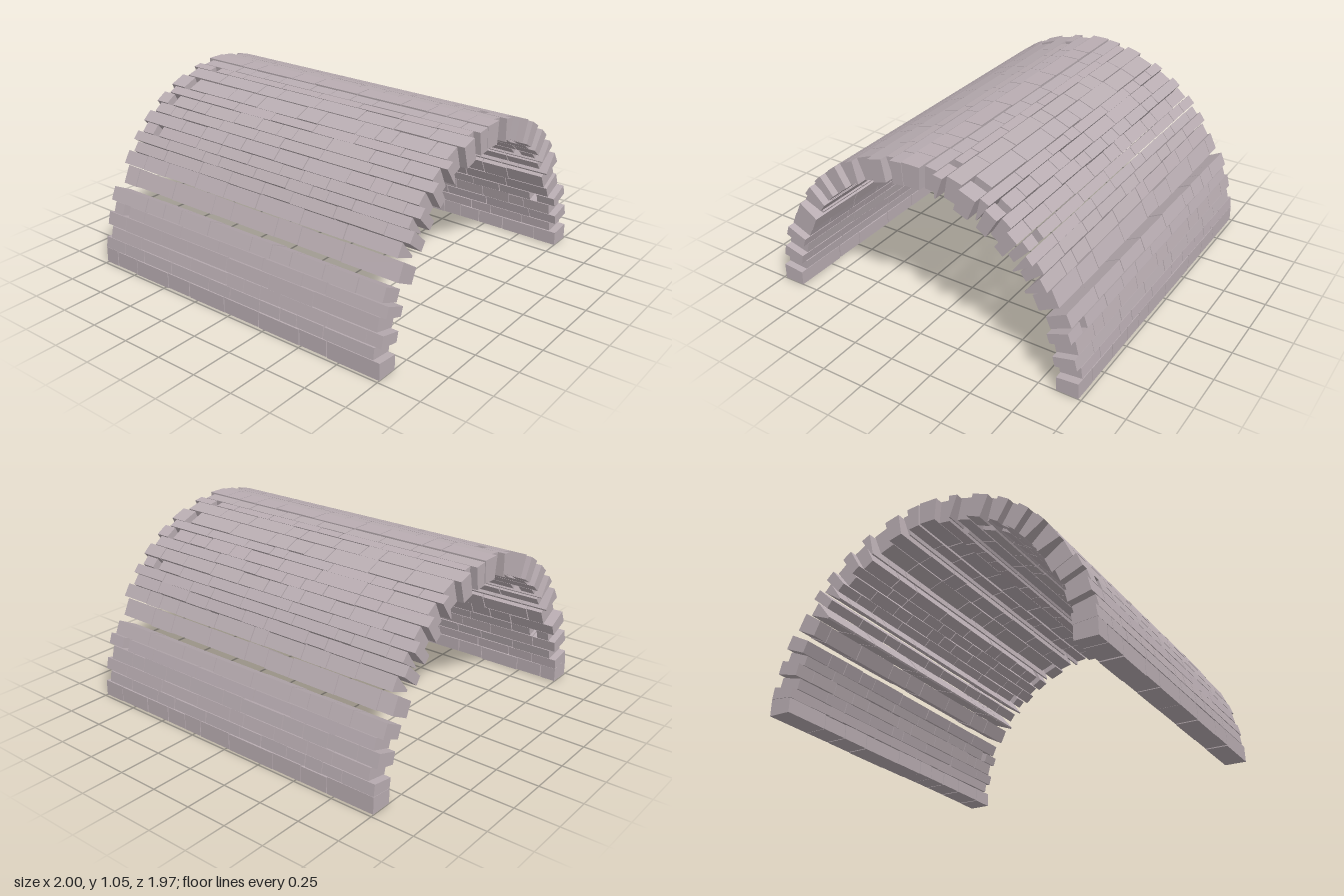
import * as THREE from 'three';
import { mergeGeometries } from 'three/addons/utils/BufferGeometryUtils.js';

const DEPTH = 0.13;      // thickness of the vault
const END_STEP = 0.04;   // toothing at the two open ends

// small seeded generator for the irregular brickwork
let seed = 7;
const rand = () => (seed = (seed * 16807) % 2147483647) / 2147483647;

// outer edge of each joint in the wall foot, [z, y]
const FOOT = [[0.984, 0], [0.982, 0.1], [0.972, 0.17], [0.955, 0.24], [0.935, 0.32], [0.913, 0.385], [0.879, 0.463]];
// z of each joint in the upper arch, from the crown down
const ARCH = [0.06, 0.135, 0.19, 0.285, 0.385, 0.44, 0.51, 0.565, 0.625, 0.67, 0.71, 0.75, 0.795, 0.842];
const WEDGES = [1, 4, 9, 11];        // arch courses that taper to a thin inner edge
const ARCH_HOLES = { 1: 0.84, 3: 0.87, 5: 0.89, 8: 0.85 };

const archPoint = (z) => [z, 0.136 + Math.sqrt(0.909 * 0.909 - z * z)];

// move an outer point inward, towards the vault axis
function inward([z, y], centreY) {
  const len = Math.hypot(z, y - centreY);
  return [z - (z / len) * DEPTH, y - ((y - centreY) / len) * DEPTH];
}

const mix = (a, b, t) => [a[0] + (b[0] - a[0]) * t, a[1] + (b[1] - a[1]) * t];

// one brick: a box whose corners follow the section [outerLow, outerHigh, innerLow, innerHigh]
function brick(x0, x1, section) {
  const [o0, o1, i0, i1] = section;
  const geometry = new THREE.BoxGeometry(1, 1, 1).toNonIndexed();
  const p = geometry.attributes.position;
  const trimA = rand() * 0.06;
  const trimB = 1 - rand() * 0.06;
  for (let i = 0; i < p.count; i++) {
    const t = p.getZ(i) > 0 ? trimB : trimA;
    const [z, y] = p.getY(i) > 0 ? mix(o0, o1, t) : mix(i0, i1, t);
    p.setXYZ(i, p.getX(i) > 0 ? x1 : x0, y, z);
  }
  geometry.computeVertexNormals();
  return geometry;
}

// x ranges of the bricks in one course, with an optional gap near one end
function brickRanges(xStart, xEnd, holeX) {
  const ranges = [];
  let x = xStart;
  let end = xEnd;
  if (holeX < 0) {
    ranges.push([xStart, holeX - 0.025]);
    x = holeX + 0.025;
  } else if (holeX > 0) {
    ranges.push([holeX + 0.025, xEnd]);
    end = holeX - 0.025;
  }
  while (x < end) {
    let next = x + 0.1 + rand() * 0.22;
    if (end - next < 0.09) next = end;
    ranges.push([x, next === end ? end : next - 0.003 - rand() * 0.004]);
    x = next;
  }
  return ranges;
}

export function createModel() {
  const vault = new THREE.Group();
  vault.name = 'brickVault';
  const material = new THREE.MeshStandardMaterial({ color: 0xb9adb2, flatShading: true });

  // a course of bricks between two outer joints, ordered by rising z
  function addCourse(name, a, b, centreY, { xStart = -1, xEnd = 1, holeX = 0, wedge = false } = {}) {
    let ia = inward(a, centreY);
    let ib = inward(b, centreY);
    if (wedge) [ia, ib] = [mix(ia, ib, 0.42), mix(ia, ib, 0.58)];
    const bricks = brickRanges(xStart, xEnd, holeX).map(([x0, x1]) => brick(x0, x1, [a, b, ia, ib]));
    const mesh = new THREE.Mesh(mergeGeometries(bricks), material);
    mesh.name = name;
    vault.add(mesh);
  }

  // alternate courses step back at opposite ends
  const ends = (i) => (i % 2 ? { xEnd: 1 - END_STEP } : { xStart: -1 + END_STEP });

  for (const side of [1, -1]) {
    const label = side > 0 ? 'front' : 'back';
    const flip = ([z, y]) => [z * side, y];
    const ordered = (outer, inner) => (side > 0 ? [inner, outer] : [flip(outer), flip(inner)]);

    // upright foot of the vault
    for (let i = 0; i < FOOT.length - 1; i++) {
      const [a, b] = ordered(FOOT[i], FOOT[i + 1]);
      const options = i === 0 ? {} : ends(i);
      if (i === 4) options.holeX = -0.86 * side;
      addCourse(`${label}FootCourse${i + 1}`, a, b, 0, options);
    }

    // curved courses, from the crown down to the open slot
    for (let i = 0; i < ARCH.length - 1; i++) {
      const [a, b] = ordered(archPoint(ARCH[i + 1]), archPoint(ARCH[i]));
      addCourse(`${label}ArchCourse${i + 1}`, a, b, 0.04, {
        ...ends(i + (side > 0 ? 0 : 1)),
        holeX: -side * (ARCH_HOLES[i] ?? 0),
        wedge: WEDGES.includes(i),
      });
    }
  }

  // crown course along the top
  addCourse('crownCourse', [-0.06, 1.048], [0.06, 1.048], 0.04);
  return vault;
}
